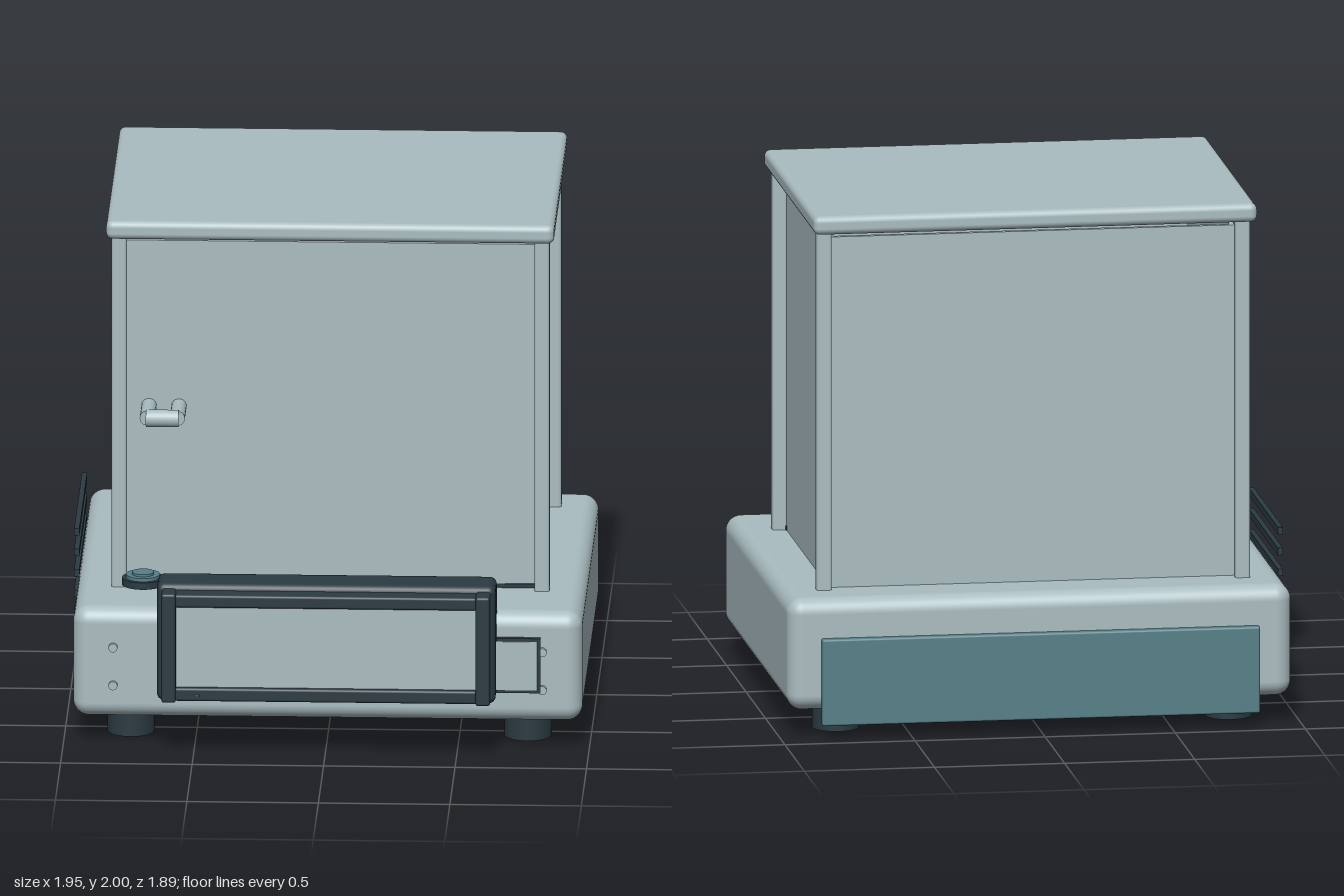
import * as THREE from 'three';
import { RoundedBoxGeometry } from 'three/addons/geometries/RoundedBoxGeometry.js';

function flat(name, color) {
  const m = new THREE.MeshStandardMaterial({ color });
  m.name = name;
  return m;
}

export function createModel() {
  const model = new THREE.Group();
  model.name = 'benchCabinet';
  const shell = flat('paleGreyBlue', 0xaabdc1);
  const dark = flat('darkSlate', 0x2b3a42);
  const teal = flat('teal', 0x568088);

  function add(name, geometry, material, parent = model) {
    const mesh = new THREE.Mesh(geometry, material);
    mesh.name = name;
    parent.add(mesh);
    return mesh;
  }
  // Box given by its extents [min, max] on each axis; r > 0 rounds the edges
  function box(name, [x0, x1], [y0, y1], [z0, z1], material, r = 0, parent = model) {
    const size = [x1 - x0, y1 - y0, z1 - z0];
    const geo = r ? new RoundedBoxGeometry(...size, r > 0.03 ? 6 : 3, r) : new THREE.BoxGeometry(...size);
    geo.translate((x0 + x1) / 2, (y0 + y1) / 2, (z0 + z1) / 2);
    return add(name, geo, material, parent);
  }
  // Upright cylinder between two heights
  function disc(name, r, x, z, y0, y1, material, parent = model) {
    const geo = new THREE.CylinderGeometry(r, r, y1 - y0, 32);
    geo.translate(x, (y0 + y1) / 2, z);
    return add(name, geo, material, parent);
  }

  // Base and feet
  box('base', [-0.963, 0.973], [0.107, 0.54], [-0.912, 0.757], shell, 0.06);
  for (const x of [-0.75, 0.76]) {
    for (const z of [0.545, -0.695]) disc('foot', 0.09, x, z, 0, 0.115, dark);
  }

  // Corner posts and lid
  for (const x of [[-0.828, -0.77], [0.78, 0.838]]) {
    for (const z of [[0.4, 0.457], [-0.742, -0.685]]) box('post', x, [0.53, 1.94], z, shell, 0.012);
  }
  box('lid', [-0.847, 0.857], [1.928, 2], [-0.797, 0.508], shell, 0.025);

  // Wall panels stop just short of the lid
  const wallY = [0.53, 1.9];
  box('frontPanel', [-0.77, 0.78], wallY, [0.385, 0.405], shell);
  box('backPanel', [-0.77, 0.78], wallY, [-0.69, -0.67], shell);
  box('rightPanel', [-0.775, -0.755], wallY, [-0.685, 0.4], shell);
  box('leftPanel', [0.765, 0.785], wallY, [-0.685, 0.4], shell);

  // Dark seals under the front and back panels
  box('frontSeal', [-0.778, 0.788], [0.53, 0.556], [0.385, 0.41], dark);
  box('backSeal', [-0.778, 0.788], [0.53, 0.556], [-0.68, -0.655], dark);

  // Door handle: bar on two stems
  const handle = new THREE.Group();
  handle.name = 'doorHandle';
  model.add(handle);
  for (const x of [-0.687, -0.573]) {
    const stem = new THREE.CylinderGeometry(0.029, 0.029, 0.17, 24);
    stem.rotateX(Math.PI / 2).translate(x, 1.244, 0.488);
    add('handleStem', stem, shell, handle);
  }
  const bar = new THREE.CylinderGeometry(0.033, 0.033, 0.124, 24);
  bar.rotateZ(Math.PI / 2).translate(-0.63, 1.243, 0.57);
  add('handleBar', bar, shell, handle);

  // Round level indicator
  const level = new THREE.Group();
  level.name = 'levelIndicator';
  model.add(level);
  disc('levelBody', 0.08, -0.705, 0.531, 0.575, 0.602, dark, level);
  disc('levelRing', 0.065, -0.705, 0.531, 0.602, 0.615, teal, level);
  disc('levelCap', 0.042, -0.705, 0.531, 0.615, 0.624, teal, level);

  // Display housing with a raised bezel
  const display = new THREE.Group();
  display.name = 'display';
  model.add(display);
  box('displayHousing', [-0.64, 0.648], [0.208, 0.673], [0.693, 0.865], dark, 0.028, display);
  box('displayScreen', [-0.57, 0.58], [0.27, 0.61], [0.86, 0.915], shell, 0, display);
  for (const x of [[-0.62, -0.565], [0.575, 0.63]]) {
    box('bezelSide', x, [0.225, 0.655], [0.85, 0.944], dark, 0.01, display);
  }
  for (const y of [[0.23, 0.282], [0.6, 0.65]]) {
    box('bezelRail', [-0.57, 0.58], y, [0.85, 0.935], dark, 0.01, display);
  }
  box('displayLight', [-0.493, -0.477], [0.25, 0.258], [0.934, 0.942], teal, 0, display);

  // Outlined label plate beside the display
  box('plateBorder', [0.5, 0.816], [0.231, 0.447], [0.75, 0.776], dark);
  box('plateFace', [0.512, 0.804], [0.243, 0.435], [0.774, 0.78], shell);

  // Front screws
  for (const x of [-0.81, 0.822]) {
    for (const y of [0.24, 0.39]) {
      const screw = new THREE.CylinderGeometry(0.017, 0.017, 0.03, 20);
      screw.rotateX(Math.PI / 2).translate(x, y, 0.757);
      add('screw', screw, shell);
    }
  }

  // Vent slats on the right side
  for (let i = 0; i < 7; i++) {
    const y = 0.193 + i * 0.081;
    box('ventSlat', [-0.98, -0.96], [y - 0.014, y + 0.014], [-0.557, 0.197], dark);
  }

  // Rear cover plate
  box('rearPlate', [-0.835, 0.847], [0.055, 0.39], [-0.945, -0.908], teal, 0.008);

  return model;
}
